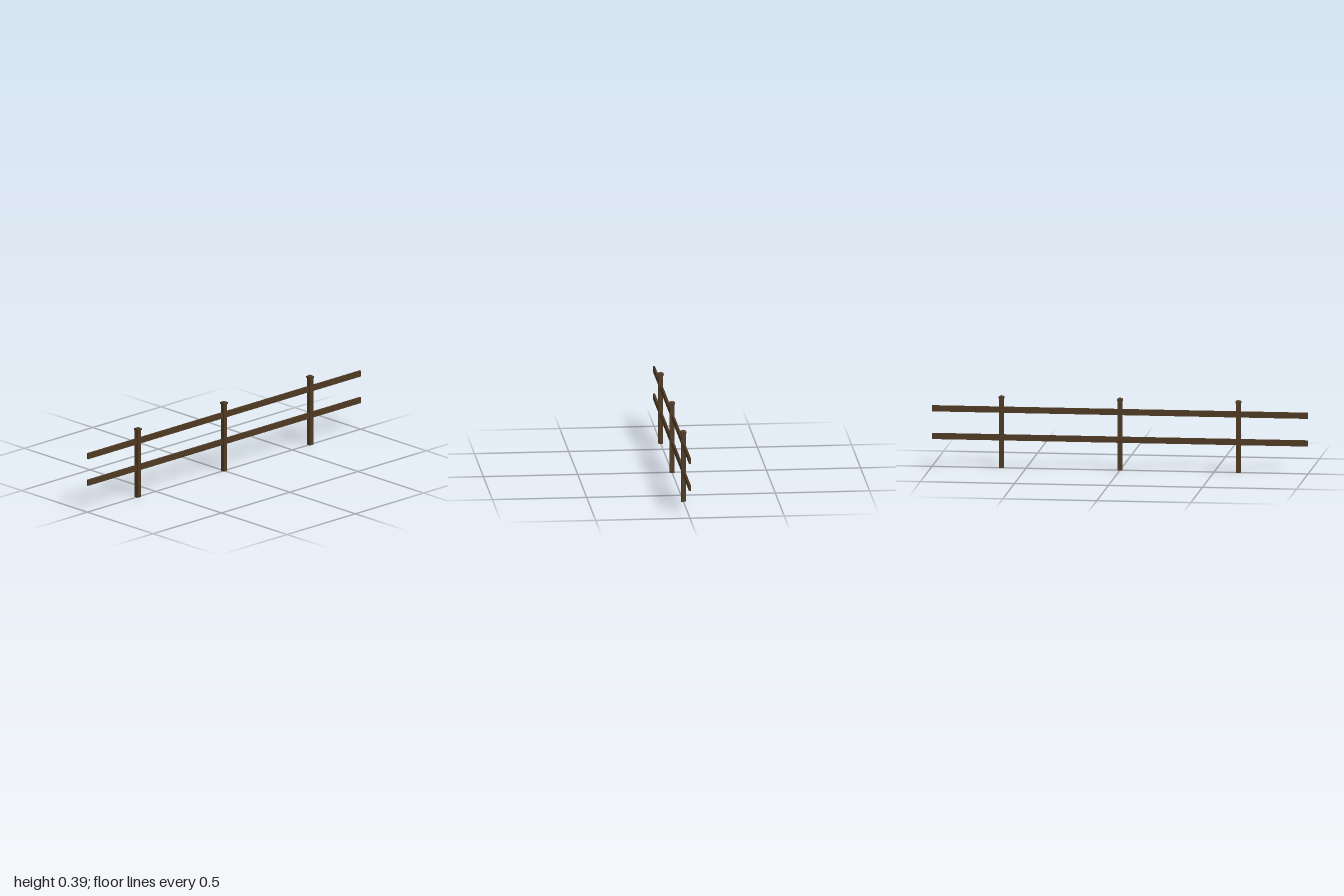
import * as THREE from 'three';

export function createModel() {
  const fence = new THREE.Group();
  fence.name = 'fence';
  const wood = new THREE.MeshStandardMaterial({ color: 0x4f3a22, flatShading: true });

  const add = (parent, name, geometry, x, y, z) => {
    const mesh = new THREE.Mesh(geometry, wood);
    mesh.name = name;
    mesh.position.set(x, y, z);
    parent.add(mesh);
  };

  // Square posts, each with an overhanging cap and a low pyramid top
  const postGeo = new THREE.BoxGeometry(0.024, 0.372, 0.024);
  const capGeo = new THREE.BoxGeometry(0.03, 0.009, 0.03);
  const peakGeo = new THREE.ConeGeometry(0.015 * Math.SQRT2, 0.008, 4, 1, true).rotateY(Math.PI / 4);
  [-0.63, 0, 0.63].forEach((z, i) => {
    const post = new THREE.Group();
    post.name = `post${i + 1}`;
    post.position.z = z;
    add(post, 'postShaft', postGeo, 0, 0.186, 0);
    add(post, 'postCap', capGeo, 0, 0.3765, 0);
    add(post, 'postPeak', peakGeo, 0, 0.385, 0);
    fence.add(post);
  });

  // Two thin rails running through all posts
  const railGeo = new THREE.BoxGeometry(0.01, 0.032, 2);
  add(fence, 'lowerRail', railGeo, 0, 0.163, 0);
  add(fence, 'upperRail', railGeo, 0, 0.311, 0);

  return fence;
}
